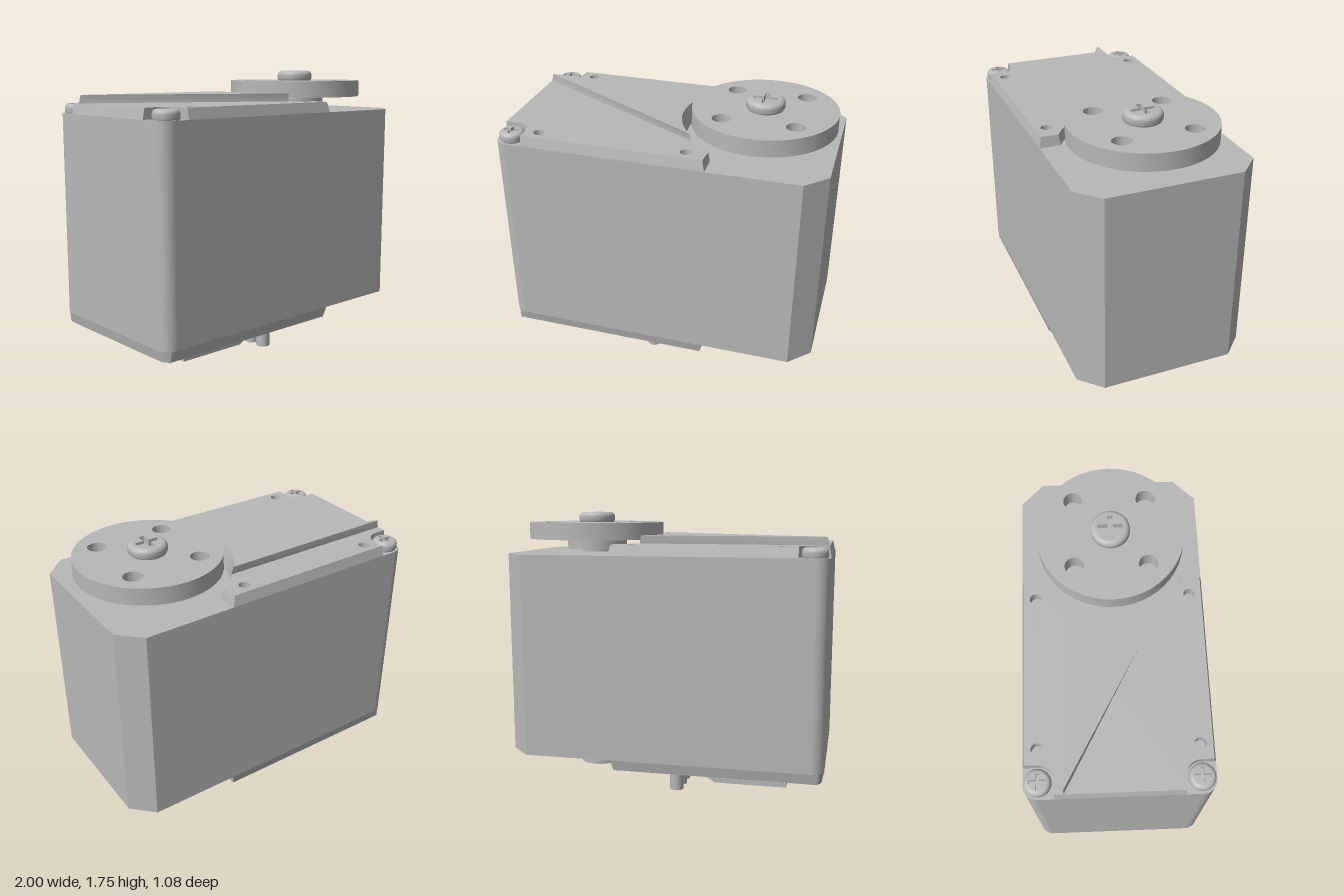
import * as THREE from 'three';
import { toCreasedNormals } from 'three/addons/utils/BufferGeometryUtils.js';

const AXIS_X = 0.545; // output shaft position
const HALF_Z = 0.54;
const SCREW = [-0.91, 0.455];

const material = new THREE.MeshStandardMaterial({ color: 0xb8b8b8 });
material.name = 'grey plastic';

function circle(x, y, r) {
  return new THREE.Path().absarc(x, y, r, 0, Math.PI * 2, true);
}

function disc(x, y, r) {
  return new THREE.Shape().absarc(x, y, r, 0, Math.PI * 2, false);
}

// Plan outline raised along y; the rule may move vertices of the upper face
function slab(shape, y0, y1, rule) {
  const g = new THREE.ExtrudeGeometry(shape, { depth: y1 - y0, bevelEnabled: false, curveSegments: 24 });
  g.rotateX(-Math.PI / 2);
  if (rule) {
    const p = g.attributes.position;
    for (let i = 0; i < p.count; i++) {
      if (p.getY(i) < (y1 - y0) / 2) continue;
      const [x, z] = rule(p.getX(i), p.getZ(i));
      p.setX(i, x);
      p.setZ(i, z);
    }
  }
  g.translate(0, y0, 0);
  g.computeVertexNormals();
  return toCreasedNormals(g, 0.5);
}

// Drafted walls: the round cutout widens and the outer sides lean inwards
function draft(x, z) {
  const r = Math.hypot(x - AXIS_X, z);
  if (r < 0.488) {
    const k = (r + 0.013) / r;
    return [AXIS_X + (x - AXIS_X) * k, z * k];
  }
  if (x > 0.3) x -= 0.015;
  if (x < -0.97) x += 0.013;
  if (Math.abs(z) > 0.53) z = Math.sign(z) * 0.525;
  return [x, z];
}

// Cover outline with a round cutout, and either notched or rounded back corners
function coverShape(notched) {
  const s = new THREE.Shape();
  const a = Math.asin(0.41 / 0.473);
  s.moveTo(0.31, -HALF_Z);
  s.lineTo(0.31, -0.41);
  s.absarc(AXIS_X, 0, 0.473, Math.PI + a, Math.PI - a, true);
  s.lineTo(0.31, HALF_Z);
  if (notched) {
    s.lineTo(-0.82, HALF_Z);
    s.lineTo(-0.82, SCREW[1]);
    s.absarc(SCREW[0], SCREW[1], 0.09, 0, -Math.PI / 2, true);
    s.lineTo(-1, 0.365);
    s.lineTo(-1, -0.365);
    s.lineTo(SCREW[0], -0.365);
    s.absarc(SCREW[0], -SCREW[1], 0.09, Math.PI / 2, 0, true);
    s.lineTo(-0.82, -HALF_Z);
  } else {
    s.lineTo(-0.92, HALF_Z);
    s.absarc(-0.92, HALF_Z - 0.08, 0.08, Math.PI / 2, Math.PI, false);
    s.lineTo(-1, -HALF_Z + 0.08);
    s.absarc(-0.92, -HALF_Z + 0.08, 0.08, Math.PI, Math.PI * 1.5, false);
  }
  for (const z of [-0.455, 0.455]) {
    if (notched) s.holes.push(circle(-0.73, z, 0.034));
    else s.holes.push(circle(SCREW[0], z, 0.034));
    s.holes.push(circle(0.18, z, 0.034));
  }
  return s;
}

// Pan head screw with a cross slot
function makeScrew(name, r, h) {
  const group = new THREE.Group();
  group.name = name;
  const b = h * 0.45;
  const pts = [new THREE.Vector2(r * 0.94, 0), new THREE.Vector2(r, h * 0.2)];
  for (let i = 0; i <= 8; i++) {
    const t = (i / 8) * Math.PI / 2;
    pts.push(new THREE.Vector2(r - b + b * Math.cos(t), h - b + b * Math.sin(t)));
  }
  const rim = new THREE.Mesh(new THREE.LatheGeometry(pts, 40), material);
  rim.name = 'screwRim';
  const top = disc(0, 0, r - b);
  const l = Math.min(r * 0.63, (r - b) * 0.92), w = r * 0.14;
  top.holes.push(new THREE.Path([
    [l, w], [w, w], [w, l], [-w, l], [-w, w], [-l, w],
    [-l, -w], [-w, -w], [-w, -l], [w, -l], [w, -w], [l, -w],
  ].map(([x, y]) => new THREE.Vector2(x, y))));
  const face = new THREE.Mesh(slab(top, h * 0.35, h), material);
  face.name = 'screwFace';
  const floor = new THREE.Mesh(slab(disc(0, 0, r - b), 0, h * 0.35), material);
  floor.name = 'slotFloor';
  group.add(rim, face, floor);
  return group;
}

export function createModel() {
  const model = new THREE.Group();
  model.name = 'servoMotor';
  const add = (name, geometry) => {
    const m = new THREE.Mesh(geometry, material);
    m.name = name;
    model.add(m);
    return m;
  };
  const cylinder = (name, r, y0, y1, x, z) =>
    add(name, new THREE.CylinderGeometry(r, r, y1 - y0, 40)).position.set(x, (y0 + y1) / 2, z);

  // Main case: chamfered at the shaft end, rounded at the other
  const body = new THREE.Shape();
  body.moveTo(0.87, -HALF_Z);
  body.lineTo(1, -0.41);
  body.lineTo(1, 0.41);
  body.lineTo(0.87, HALF_Z);
  body.lineTo(-0.92, HALF_Z);
  body.absarc(-0.92, HALF_Z - 0.08, 0.08, Math.PI / 2, Math.PI, false);
  body.lineTo(-1, -HALF_Z + 0.08);
  body.absarc(-0.92, -HALF_Z + 0.08, 0.08, Math.PI, Math.PI * 1.5, false);
  add('case', slab(body, 0.22, 1.49));

  // Upper cover with its raised middle panel
  add('topCover', slab(coverShape(true), 1.49, 1.555, draft));
  const panel = new THREE.Shape();
  const a = Math.asin(0.31 / 0.486);
  panel.moveTo(-0.985, -0.31);
  panel.absarc(AXIS_X, 0, 0.486, Math.PI + a, Math.PI - a, true);
  panel.lineTo(-0.985, 0.31);
  add('raisedPanel', slab(panel, 1.555, 1.605, draft));

  // Lower cover, turned upside down
  const bottom = add('bottomCover', slab(coverShape(false), 0, 0.065, draft));
  bottom.rotation.x = Math.PI;
  bottom.position.y = 0.22;

  // Wedge block under the lower cover
  const wedge = new THREE.Shape([[-0.77, 0.08], [-0.33, 0.08], [-0.18, 0.16], [-0.77, 0.16]]
    .map(([x, y]) => new THREE.Vector2(x, y)));
  const wedgeGeometry = new THREE.ExtrudeGeometry(wedge, { depth: 0.81, bevelEnabled: false });
  wedgeGeometry.translate(0, 0, -0.405);
  add('bottomBlock', wedgeGeometry);

  // Connector pins
  for (const side of [-1, 1]) {
    for (const z of [0.125, 0.232, 0.338]) cylinder('pin', 0.043, 0, 0.17, -0.07, side * z);
  }

  // Lower pivot boss with a blind hole
  const boss = disc(AXIS_X, 0, 0.13);
  boss.holes.push(circle(AXIS_X, 0, 0.055));
  add('pivotBoss', slab(boss, 0.05, 0.22));

  // Output shaft, hub and horn disc
  cylinder('shaft', 0.105, 1.49, 1.51, AXIS_X, 0);
  cylinder('hub', 0.195, 1.505, 1.575, AXIS_X, 0);
  const horn = disc(AXIS_X, 0, 0.44);
  for (const x of [-0.218, 0.218]) {
    for (const z of [-0.218, 0.218]) horn.holes.push(circle(AXIS_X + x, z, 0.057));
  }
  add('hornDisc', slab(horn, 1.575, 1.68));

  // Screws
  const hornScrew = makeScrew('hornScrew', 0.117, 0.065);
  hornScrew.position.set(AXIS_X, 1.68, 0);
  model.add(hornScrew);
  for (const side of [-1, 1]) {
    const screw = makeScrew('coverScrew', 0.077, 0.06);
    screw.position.set(SCREW[0], 1.49, side * SCREW[1]);
    model.add(screw);
  }
  return model;
}
